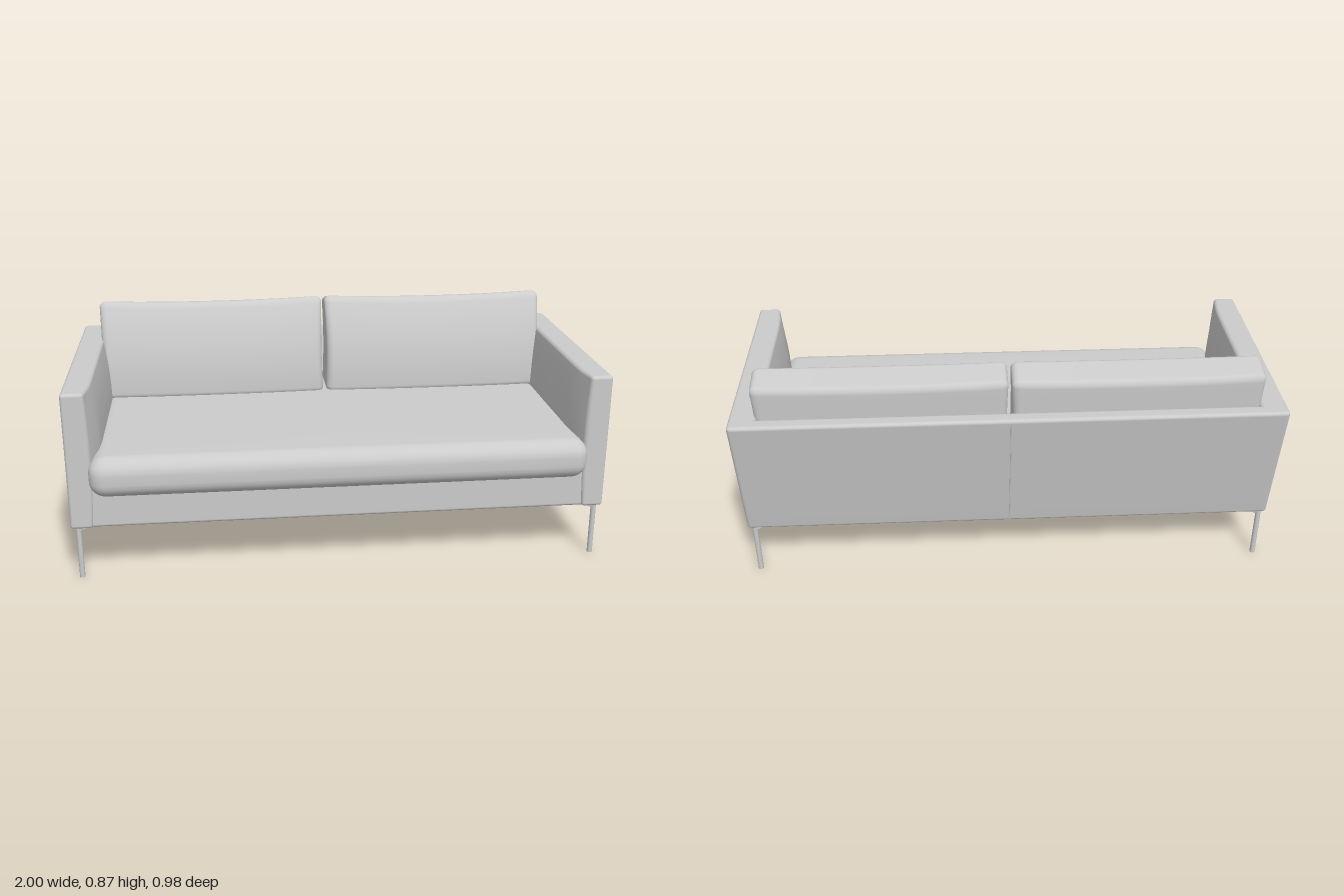
import * as THREE from 'three';
import { mergeVertices } from 'three/addons/utils/BufferGeometryUtils.js';

const BOTTOM = 0.205, HEIGHT = 0.52;
const material = new THREE.MeshStandardMaterial({ color: 0xcccccc, roughness: 0.85 });

// Rounded box with evenly spaced corner arcs; warp(p, f) reshapes it,
// where f holds the position inside the box as fractions 0..1.
function softBox(w, h, d, r, warp) {
  const n = 20, flat = 0.6;
  let geo = new THREE.BoxGeometry(2, 2, 2, n, n, n);
  geo.deleteAttribute('uv');
  geo.deleteAttribute('normal');
  geo = mergeVertices(geo);
  const half = [w / 2, h / 2, d / 2];
  const pos = geo.attributes.position;
  const p = new THREE.Vector3(), core = new THREE.Vector3(), f = new THREE.Vector3();
  for (let i = 0; i < pos.count; i++) {
    p.fromBufferAttribute(pos, i);
    for (let a = 0; a < 3; a++) {
      const u = p.getComponent(a), m = Math.abs(u), inner = half[a] - r;
      const c = m <= flat + 1e-5
        ? inner * m / flat
        : inner + r * Math.tan((m - flat) / (1 - flat) * Math.PI / 4);
      core.setComponent(a, Math.sign(u) * Math.min(c, inner));
      p.setComponent(a, Math.sign(u) * c);
    }
    p.sub(core).normalize().multiplyScalar(r).add(core);
    f.set(p.x / w + 0.5, p.y / h + 0.5, p.z / d + 0.5);
    warp(p, f);
    pos.setXYZ(i, p.x, p.y, p.z);
  }
  geo.computeVertexNormals();
  return geo;
}

const backZ = t => -0.385 - 0.102 * t; // raked outer face of the back
const bump = t => Math.sin(Math.PI * THREE.MathUtils.clamp(t, 0, 1));

export function createModel() {
  const group = new THREE.Group();
  const add = (name, geo) => {
    const mesh = new THREE.Mesh(geo, material);
    mesh.name = name;
    group.add(mesh);
    return mesh;
  };

  // Base rail and underside
  add('base', softBox(1.88, 0.15, 0.8, 0.012, p => {
    p.y += BOTTOM + 0.075;
    p.z += 0.026;
  }));

  // Raked back panel
  add('backPanel', softBox(1.998, HEIGHT, 0.06, 0.014, (p, f) => {
    p.y += BOTTOM + HEIGHT / 2;
    p.z += 0.03 + backZ(f.y);
  }));

  // Centre seam down the back
  const seam = new THREE.LineCurve3(
    new THREE.Vector3(0, BOTTOM + 0.008, backZ(0.015)),
    new THREE.Vector3(0, BOTTOM + HEIGHT - 0.008, backZ(0.985)));
  add('backSeam', new THREE.TubeGeometry(seam, 1, 0.002, 6));

  // Seat cushion with a full rounded front
  add('seatCushion', softBox(1.83, 0.155, 0.88, 0.055, (p, f) => {
    p.x *= 1 + 0.006 * bump(f.y);
    p.y += 0.41 + 0.006 * (f.y - 0.5) * bump(f.x) * bump(f.z);
    p.z += 0.04 + 0.008 * f.z * bump(f.y);
  }));

  for (const s of [1, -1]) {
    const side = s > 0 ? 'left' : 'right';

    // Arm: flat outside, padded inside, thinner at its front edge
    add(side + 'Arm', softBox(0.09, HEIGHT, 0.9, 0.012, (p, f) => {
      const inward = s > 0 ? 1 - f.x : f.x;
      const taper = THREE.MathUtils.smoothstep(1 - f.z, -0.06, 0.14);
      const thick = 0.078 + 0.042 * Math.pow(bump(f.y * 0.93), 0.6) * taper;
      p.x = s * (1 - inward * thick);
      p.y += BOTTOM + HEIGHT / 2;
      p.z = THREE.MathUtils.lerp(backZ(f.y) + 0.003, 0.435, f.z);
    }));

    // Back cushion: deep at the bottom, leaning back to a narrow top
    add(side + 'BackCushion', softBox(0.912, 0.4, 0.2, 0.028, (p, f) => {
      const t = f.y, across = bump(f.x);
      const front = -0.212 - 0.098 * Math.pow(t, 2.3) + 0.014 * Math.pow(across, 0.6);
      const back = -0.405 - 0.018 * t;
      p.x = p.x * (1 - 0.012 * bump(t)) + s * 0.461;
      p.y += 0.675 - 0.03 * t * (1 - f.z) - 0.012 * t * Math.pow(across, 0.5);
      p.z = THREE.MathUtils.lerp(back, front, f.z);
    }));

    // Slim legs with diagonal mounting bars
    for (const [end, z, dir] of [['Front', 0.412, -1], ['Back', -0.37, 1]]) {
      const leg = add(side + end + 'Leg', new THREE.CylinderGeometry(0.01, 0.01, 0.207, 20));
      leg.position.set(s * 0.974, 0.1035, z);
      const bar = add(side + end + 'LegBar', new THREE.BoxGeometry(0.15, 0.014, 0.02));
      bar.position.set(s * 0.923, 0.199, z + dir * 0.051);
      bar.rotation.y = s * dir * Math.PI / 4;
    }
  }
  return group;
}
